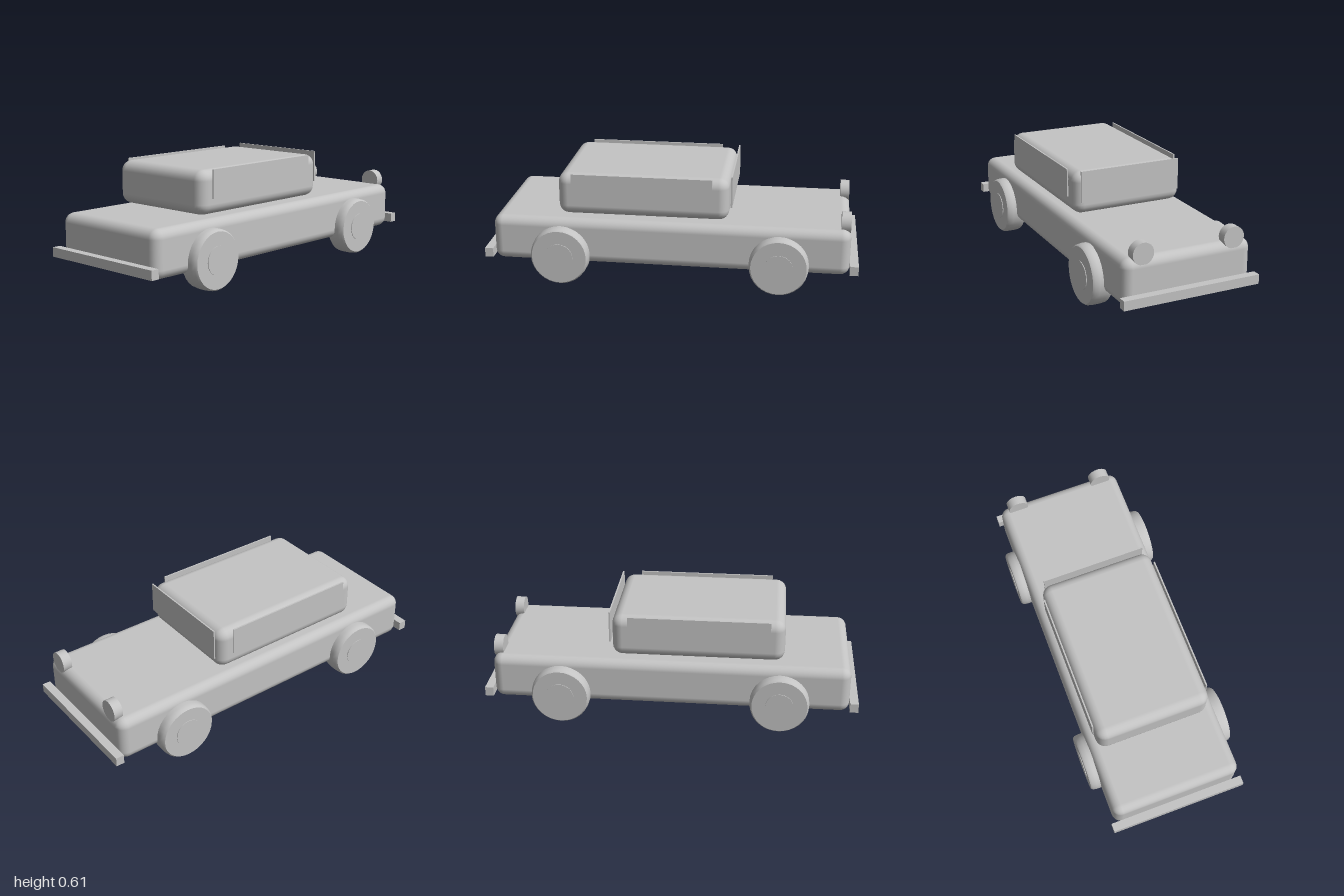
import * as THREE from 'three';
import { RoundedBoxGeometry } from 'three/addons/geometries/RoundedBoxGeometry.js';
import { toCreasedNormals } from 'three/addons/utils/BufferGeometryUtils.js';

export function createModel() {
  const car = new THREE.Group();
  car.name = 'car';
  const grey = new THREE.MeshStandardMaterial({ color: 0xc4c4c4 });
  grey.name = 'light grey';

  function add(name, geometry, x, y, z) {
    const mesh = new THREE.Mesh(geometry, grey);
    mesh.name = name;
    mesh.position.set(x, y, z);
    car.add(mesh);
    return mesh;
  }

  // Body and cabin, with a thin gap between them
  add('body', new RoundedBoxGeometry(0.71, 0.25, 1.91, 3, 0.05), 0, 0.231, 0);
  add('cabin', new RoundedBoxGeometry(0.625, 0.23, 0.915, 3, 0.055), 0, 0.481, 0.145);

  // Bumpers
  const bumper = new THREE.BoxGeometry(0.75, 0.05, 0.045);
  add('frontBumper', bumper, 0, 0.152, 0.978);
  add('rearBumper', bumper, 0, 0.152, -0.978);

  // Windows standing just off the cabin
  add('rearWindow', new THREE.BoxGeometry(0.568, 0.17, 0.008), 0, 0.524, -0.325);
  const sideWindow = new THREE.BoxGeometry(0.008, 0.15, 0.75);

  // Tyre profile with softly bevelled shoulders, turned about the axle
  const profile = [[0, -0.054], [0.147, -0.054], [0.155, -0.044], [0.158, -0.02],
    [0.158, 0.02], [0.155, 0.044], [0.147, 0.054], [0, 0.054]];
  const tyre = toCreasedNormals(
    new THREE.LatheGeometry(profile.map(([r, h]) => new THREE.Vector2(r, h)), 32), 0.6);
  tyre.rotateZ(Math.PI / 2);
  const hub = new THREE.CylinderGeometry(0.075, 0.075, 0.115, 24).rotateZ(Math.PI / 2);
  const lamp = new THREE.CylinderGeometry(0.057, 0.057, 0.05, 24).rotateX(Math.PI / 2);

  for (const [side, s] of [['left', 1], ['right', -1]]) {
    add(side + 'Window', sideWindow, s * 0.316, 0.524, 0.15);
    add(side + 'RearLamp', lamp, s * 0.25, 0.377, -0.927);
    for (const [end, z] of [['Front', 0.585], ['Rear', -0.585]]) {
      add(side + end + 'Wheel', tyre, s * 0.355, 0.159, z);
      add(side + end + 'Hub', hub, s * 0.355, 0.159, z);
    }
  }
  return car;
}
